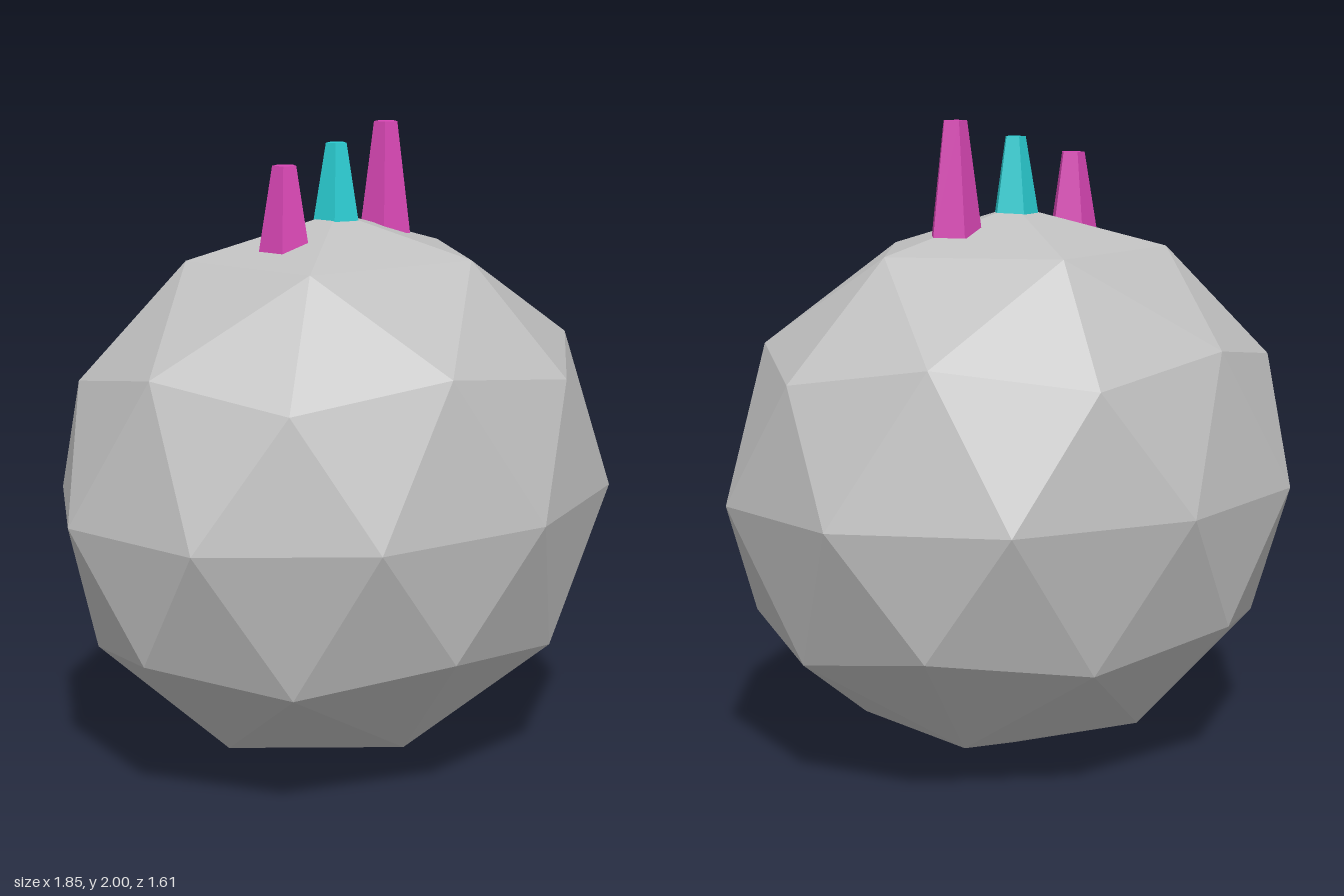
import * as THREE from 'three';

export function createModel() {
  const model = new THREE.Group();
  const flat = (name, color) => {
    const m = new THREE.MeshStandardMaterial({ color, flatShading: true });
    m.name = name;
    return m;
  };
  const stone = flat('stone grey', 0xc0c0c0);
  const magenta = flat('magenta', 0xd846b4);
  const cyan = flat('cyan', 0x2acdd2);

  // Faceted body: icosphere turned to stand on one of its points
  const golden = (1 + Math.sqrt(5)) / 2;
  const bodyGeometry = new THREE.IcosahedronGeometry(1, 1)
    .rotateZ(-Math.atan(1 / golden))
    .scale(0.97, 0.866, 0.807)
    .translate(0, 0.866, 0);
  const body = new THREE.Mesh(bodyGeometry, stone);
  body.name = 'body';
  model.add(body);

  // Five-sided tapered crystals along the top
  const addCrystal = (name, material, x, bottom, top, radius) => {
    const height = top - bottom;
    const geometry = new THREE.CylinderGeometry(radius * 0.46, radius, height, 5).rotateY(Math.PI / 2);
    const crystal = new THREE.Mesh(geometry, material);
    crystal.name = name;
    crystal.position.set(x, bottom + height / 2, 0);
    model.add(crystal);
  };
  addCrystal('rightCrystal', magenta, -0.24, 1.62, 1.893, 0.083);
  addCrystal('middleCrystal', cyan, 0, 1.71, 1.947, 0.073);
  addCrystal('leftCrystal', magenta, 0.24, 1.65, 2.0, 0.084);

  return model;
}
